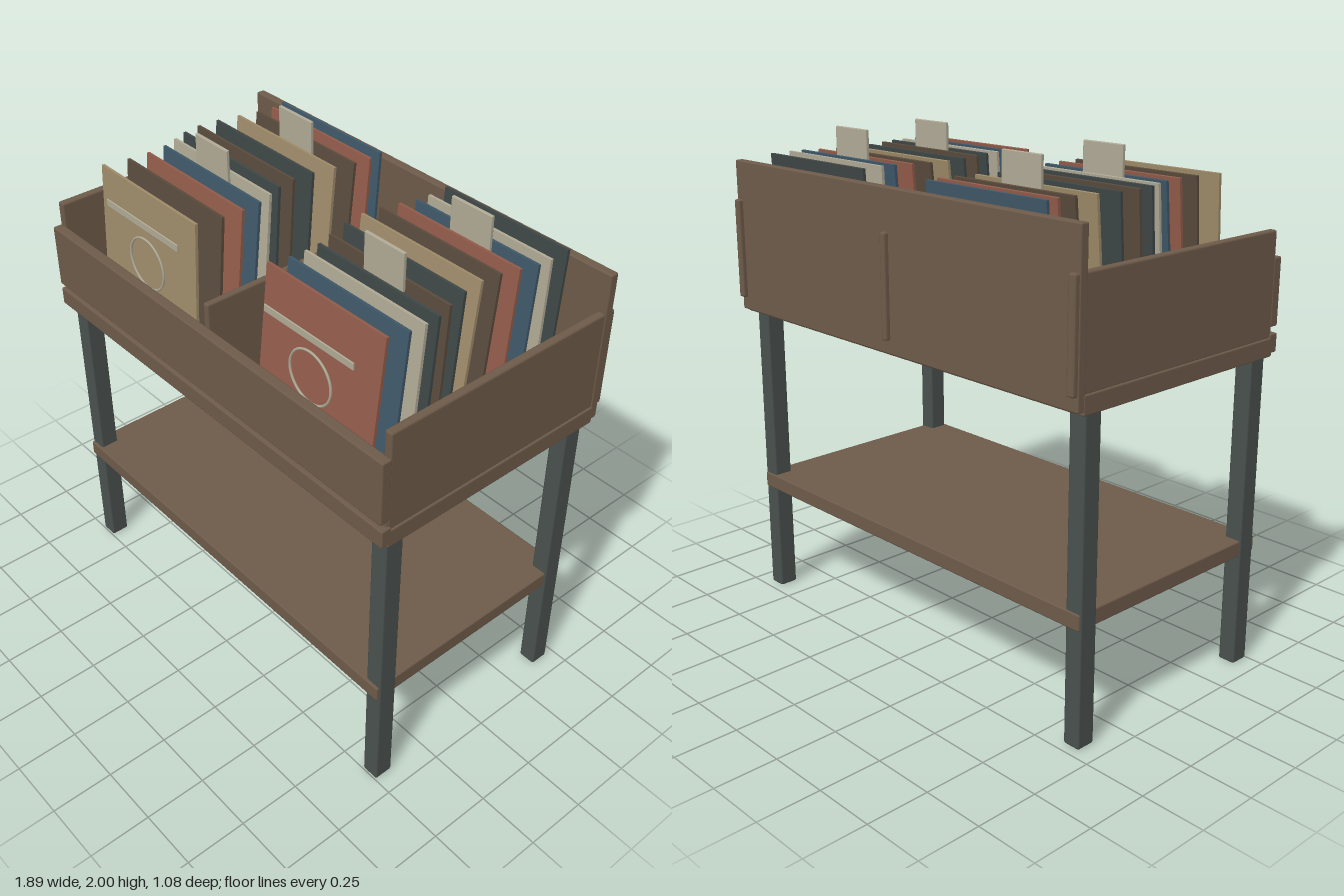
import * as THREE from 'three';
import { RoundedBoxGeometry } from 'three/addons/geometries/RoundedBoxGeometry.js';

const mat = (name, color) => {
  const m = new THREE.MeshStandardMaterial({ color });
  m.name = name;
  return m;
};

export function createModel() {
  const model = new THREE.Group();
  const wood = mat('brown wood', 0x6e5b4a);
  const steel = mat('dark steel', 0x4a514e);
  const cream = mat('cream card', 0xb0aa95);
  const covers = {
    b: mat('blue sleeve', 0x3f5869),
    r: mat('red sleeve', 0x935c4b),
    d: mat('dark brown sleeve', 0x5a4b3d),
    t: mat('tan sleeve', 0x9f8c6a),
    s: mat('slate sleeve', 0x3f4747),
    c: cream,
  };

  // Box with chamfered edges, given by its extents on each axis
  const board = (name, material, [x0, x1], [y0, y1], [z0, z1], bevel = 0.006, parent = model) => {
    const geo = new RoundedBoxGeometry(x1 - x0, y1 - y0, z1 - z0, 1, bevel);
    const mesh = new THREE.Mesh(geo, material);
    mesh.position.set((x0 + x1) / 2, (y0 + y1) / 2, (z0 + z1) / 2);
    mesh.name = name;
    parent.add(mesh);
    return mesh;
  };

  // Stand: four legs and a lower shelf
  for (const s of [-1, 1]) {
    for (const [name, z] of [['frontLeg', 0.457], ['backLeg', -0.423]]) {
      board(name, steel, [s * 0.889 - 0.036, s * 0.889 + 0.036], [0, 1.32], [z - 0.039, z + 0.039], 0.008);
    }
  }
  board('lowerShelf', wood, [-0.92, 0.92], [0.455, 0.518], [-0.468, 0.507]);

  // Bin: floor, front, back, sides and the divider
  board('binFloor', wood, [-0.945, 0.945], [1.232, 1.304], [-0.492, 0.51]);
  board('frontRail', wood, [-0.945, 0.945], [1.245, 1.318], [0.495, 0.538]);
  board('frontSeam', wood, [-0.935, 0.935], [1.29, 1.36], [0.492, 0.512]);
  board('frontBoard', wood, [-0.94, 0.94], [1.342, 1.6], [0.5, 0.542]);
  board('backBoard', wood, [-0.943, 0.943], [1.246, 1.855], [-0.518, -0.482]);
  for (const s of [-1, 1]) {
    board('sideBoard', wood, [s * 0.922 - 0.017, s * 0.922 + 0.017], [1.3, 1.7], [-0.537, 0.507], 0.008);
  }
  board('divider', wood, [-0.014, 0.014], [1.3, 1.697], [-0.537, 0.505], 0.008);

  // Sleeves leaning back: colour, centre x, top z and depth of the lean, back to front
  const size = 0.582, thick = 0.012, top = 1.892;
  const bays = [
    {
      name: 'leftBay',
      colours: 'brdtsdscbrdt',
      x: [-0.446, -0.436, -0.446, -0.468, -0.488, -0.497, -0.488, -0.466, -0.446, -0.44, -0.446, -0.468],
      z: [-0.46, -0.4, -0.33, -0.25, -0.16, -0.075, 0, 0.06, 0.125, 0.205, 0.29, 0.39],
      depth: [0.05, 0.06, 0.07, 0.065, 0.055, 0.05, 0.05, 0.06, 0.07, 0.065, 0.06, 0.042],
    },
    {
      name: 'rightBay',
      colours: 'scbrdtsdscbr',
      x: [0.485, 0.489, 0.485, 0.462, 0.44, 0.429, 0.44, 0.464, 0.485, 0.489, 0.485, 0.463],
      z: [-0.46, -0.37, -0.313, -0.248, -0.177, -0.1, -0.01, 0.08, 0.15, 0.212, 0.278, 0.353],
      depth: [0.05, 0.036, 0.056, 0.06, 0.07, 0.075, 0.06, 0.046, 0.056, 0.06, 0.07, 0.075],
    },
  ];
  for (const bay of bays) {
    const group = new THREE.Group();
    group.name = bay.name;
    model.add(group);
    bay.x.forEach((x, i) => {
      const lean = (bay.depth[i] - thick) / size;
      const sleeve = new THREE.Mesh(new THREE.BoxGeometry(size, size, thick), covers[bay.colours[i]]);
      sleeve.name = 'sleeve';
      sleeve.position.set(x, top - size / 2, bay.z[i] + bay.depth[i] / 2);
      sleeve.rotation.x = -lean;
      group.add(sleeve);
    });

    // Upright index cards
    for (const [i, z] of [[2, -0.28], [7, 0.104]]) {
      const x = bay.x[i];
      board('indexCard', cream, [x - 0.095, x + 0.095], [1.85, 2], [z - 0.007, z + 0.007], 0.003, group);
    }

    // Cover art on the foremost sleeve
    const x = bay.x[11];
    board('coverStrip', cream, [x - 0.222, x + 0.222], [1.762, 1.791], [0.432, 0.438], 0.002, group);
    const ring = new THREE.Mesh(new THREE.TorusGeometry(0.104, 0.005, 6, 40), cream);
    ring.name = 'coverRing';
    ring.position.set(x, 1.606, 0.426);
    group.add(ring);
  }
  return model;
}
